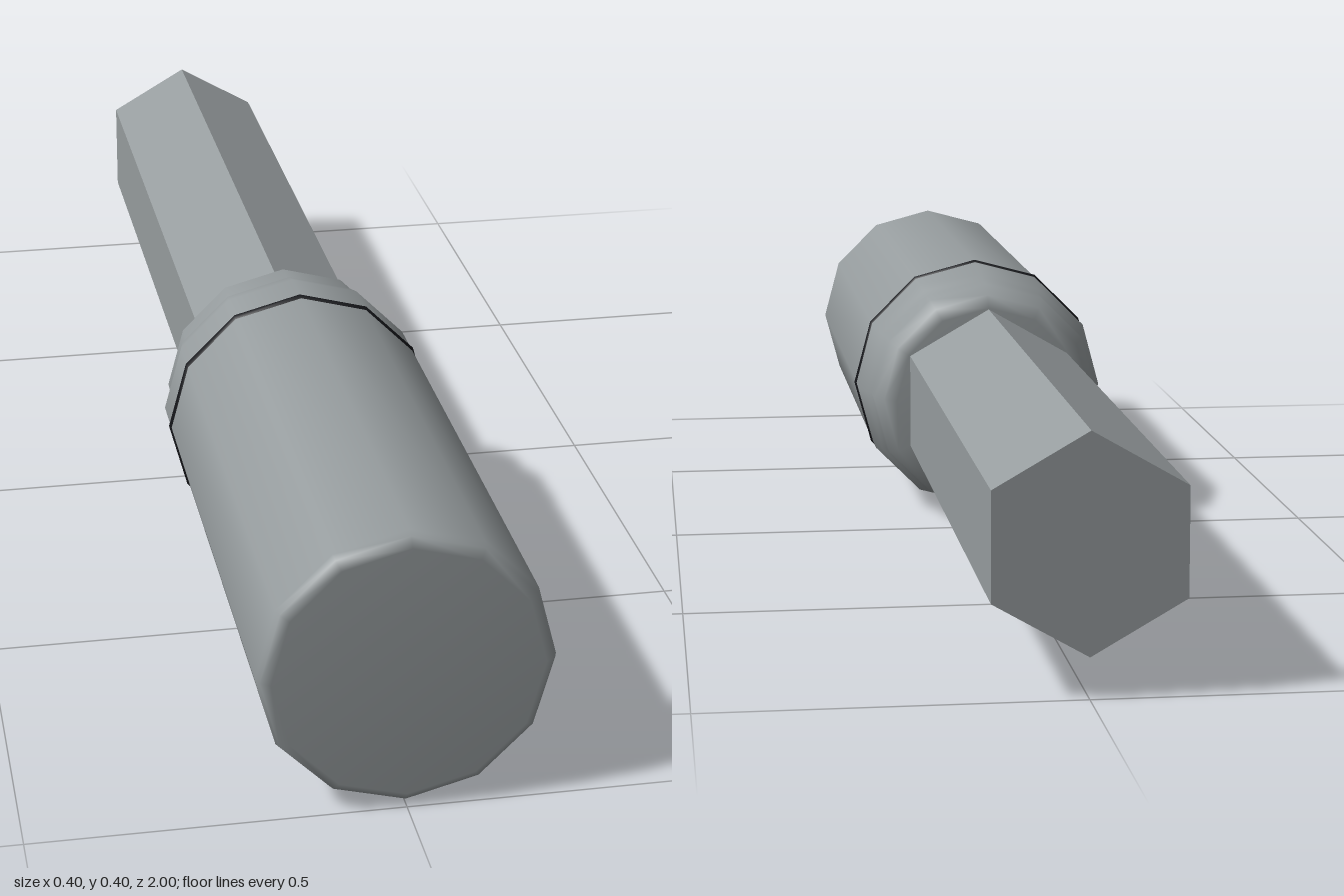
import * as THREE from 'three';

const AXIS_Y = 0.2; // height of the long axis
const SIDES = 12;

export function createModel() {
  const steel = new THREE.MeshStandardMaterial({ color: 0x969c9e });
  steel.name = 'grey steel';
  const rubber = new THREE.MeshStandardMaterial({ color: 0x15161a });
  rubber.name = 'black rubber';

  const group = new THREE.Group();
  group.name = 'hexShankTool';
  const add = (name, geometry, material, z = 0) => {
    const mesh = new THREE.Mesh(geometry, material);
    mesh.name = name;
    mesh.position.set(0, AXIS_Y, z);
    group.add(mesh);
  };

  // Smooth twelve-sided handle with a stepped collar: [radius, z] from back to front
  const profile = [
    [0, 0.035], [0.147, 0.035], [0.166, 0.05], [0.18, 0.077], [0.181, 0.115],
    [0.188, 0.128], [0.197, 0.16], [0.197, 0.98], [0.193, 0.991], [0.18, 1], [0, 1],
  ].map(([r, z]) => new THREE.Vector2(r, z));
  add('handle', new THREE.LatheGeometry(profile, SIDES).rotateX(Math.PI / 2), steel);

  // Thin ring seated in the handle
  add('ring', new THREE.TorusGeometry(0.19, 0.01, 8, SIDES), rubber, 0.225);

  // Faceted hexagonal shank, its end tucked into the collar
  const shank = new THREE.CylinderGeometry(0.145, 0.145, 1.05, 6).toNonIndexed();
  shank.computeVertexNormals();
  shank.rotateX(Math.PI / 2);
  add('shank', shank, steel, -0.475);

  return group;
}
